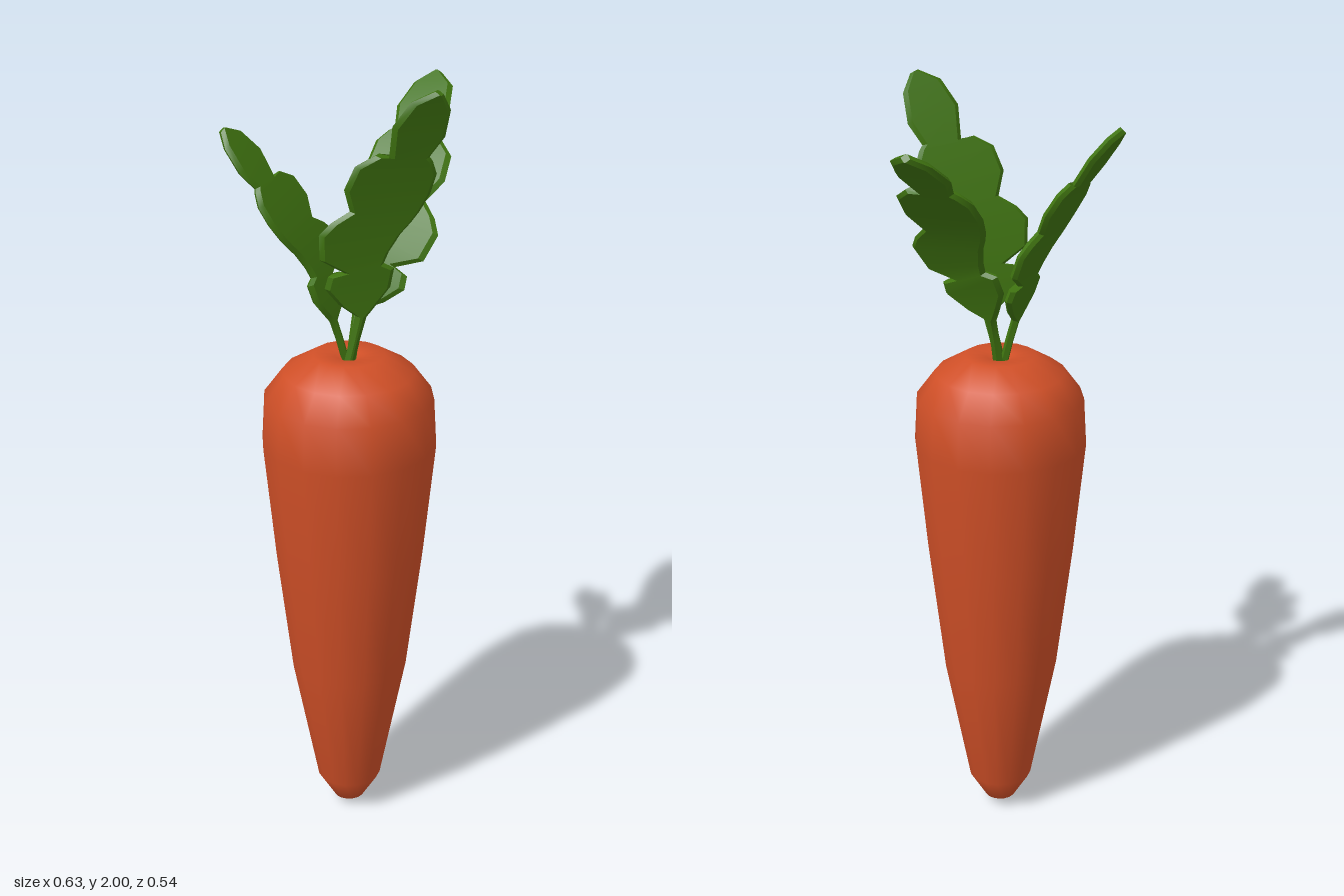
import * as THREE from 'three';
import { toCreasedNormals } from 'three/addons/utils/BufferGeometryUtils.js';

// Leaf outline, root to tip: left (u, s) and right (u, s) of each cross-section
const OUTLINE = [
  [-0.015, -0.03, 0.015, -0.03],
  [-0.015, 0.06, 0.013, 0.06],
  [-0.018, 0.125, 0.014, 0.125],
  [-0.07, 0.15, 0.03, 0.16],
  [-0.12, 0.19, 0.055, 0.22],
  [-0.12, 0.225, 0.05, 0.275],
  [-0.08, 0.242, 0.018, 0.285],
  [-0.155, 0.27, 0.022, 0.32],
  [-0.177, 0.34, 0.038, 0.375],
  [-0.155, 0.38, 0.055, 0.41],
  [-0.116, 0.42, 0.068, 0.445],
  [-0.15, 0.48, 0.08, 0.50],
  [-0.143, 0.55, 0.078, 0.56],
  [-0.1, 0.59, 0.055, 0.595],
  [-0.062, 0.585, 0.042, 0.607],
  [-0.085, 0.68, 0.062, 0.67],
  [-0.062, 0.757, 0.048, 0.75],
  [-0.012, 0.797, 0.012, 0.793],
];
const HALF_THICK = 0.01;
const BEVEL = 0.012;

// Thin bevelled leaf, rolled in its plane, then bent outwards along an arc
function leafGeometry({ scale, roll, lean, curl }) {
  const pos = [], index = [];
  const c = Math.cos(roll), sn = Math.sin(roll);
  const place = (u0, s0, w) => {
    const u = (u0 * c + s0 * sn) * scale;
    const s = (s0 * c - u0 * sn) * scale;
    const a = lean + curl * s;
    const h = (Math.sin(a) - Math.sin(lean)) / curl;
    const o = (Math.cos(lean) - Math.cos(a)) / curl;
    pos.push(u, h - w * Math.sin(a), o + w * Math.cos(a));
  };
  for (const [ul, sl, ur, sr] of OUTLINE) {
    const k = Math.min(0.4, BEVEL / Math.hypot(ur - ul, sr - sl));
    const at = (t, w) => place(ul + (ur - ul) * t, sl + (sr - sl) * t, w);
    at(0, 0); at(k, HALF_THICK); at(1 - k, HALF_THICK);
    at(1, 0); at(1 - k, -HALF_THICK); at(k, -HALF_THICK);
  }
  const rows = OUTLINE.length;
  for (let i = 0; i < rows - 1; i++) {
    for (let j = 0; j < 6; j++) {
      const a = i * 6 + j, b = i * 6 + (j + 1) % 6;
      index.push(a, b, b + 6, a, b + 6, a + 6);
    }
  }
  // Tip cap
  const t = (rows - 1) * 6;
  for (let k = 1; k < 5; k++) index.push(t, t + k, t + k + 1);
  const g = new THREE.BufferGeometry();
  g.setAttribute('position', new THREE.Float32BufferAttribute(pos, 3));
  g.setIndex(index);
  return toCreasedNormals(g, 0.6);
}

export function createModel() {
  const model = new THREE.Group();
  model.name = 'carrot';
  const orange = new THREE.MeshStandardMaterial({ color: 0xcf4f27 });
  orange.name = 'carrotOrange';
  const green = new THREE.MeshStandardMaterial({ color: 0x3f7310 });
  green.name = 'leafGreen';

  // Root: sixteen-sided turned body with a small dimple at the crown
  const profile = [
    [0, 0], [0.04, 0.025], [0.083, 0.095], [0.15, 0.44], [0.19, 0.77], [0.22, 1.07],
    [0.213, 1.195], [0.165, 1.26], [0.09, 1.305], [0.035, 1.3], [0, 1.28],
  ].map(([r, y]) => new THREE.Vector2(r, y));
  const root = new THREE.Mesh(new THREE.LatheGeometry(profile, 16), orange);
  root.name = 'root';
  root.position.set(-0.03, 0, 0.05);
  model.add(root);

  // Three leaves from the crown, each turned, tilted and curled differently
  const deg = Math.PI / 180;
  const leaves = [
    { name: 'frontLeaf', turn: 0, scale: 0.93, roll: 13 * deg, lean: 3 * deg, curl: 0.5 },
    { name: 'backLeftLeaf', turn: 135, scale: 0.97, roll: 0, lean: 12 * deg, curl: 1.04 },
    { name: 'backRightLeaf', turn: -135, scale: 0.82, roll: 14 * deg, lean: 8 * deg, curl: 0.8 },
  ];
  for (const leaf of leaves) {
    const mesh = new THREE.Mesh(leafGeometry(leaf), green);
    mesh.name = leaf.name;
    const a = leaf.turn * deg;
    mesh.position.set(-0.03 + 0.012 * Math.sin(a), 1.295, 0.05 + 0.012 * Math.cos(a));
    mesh.rotation.y = a;
    model.add(mesh);
  }
  return model;
}
